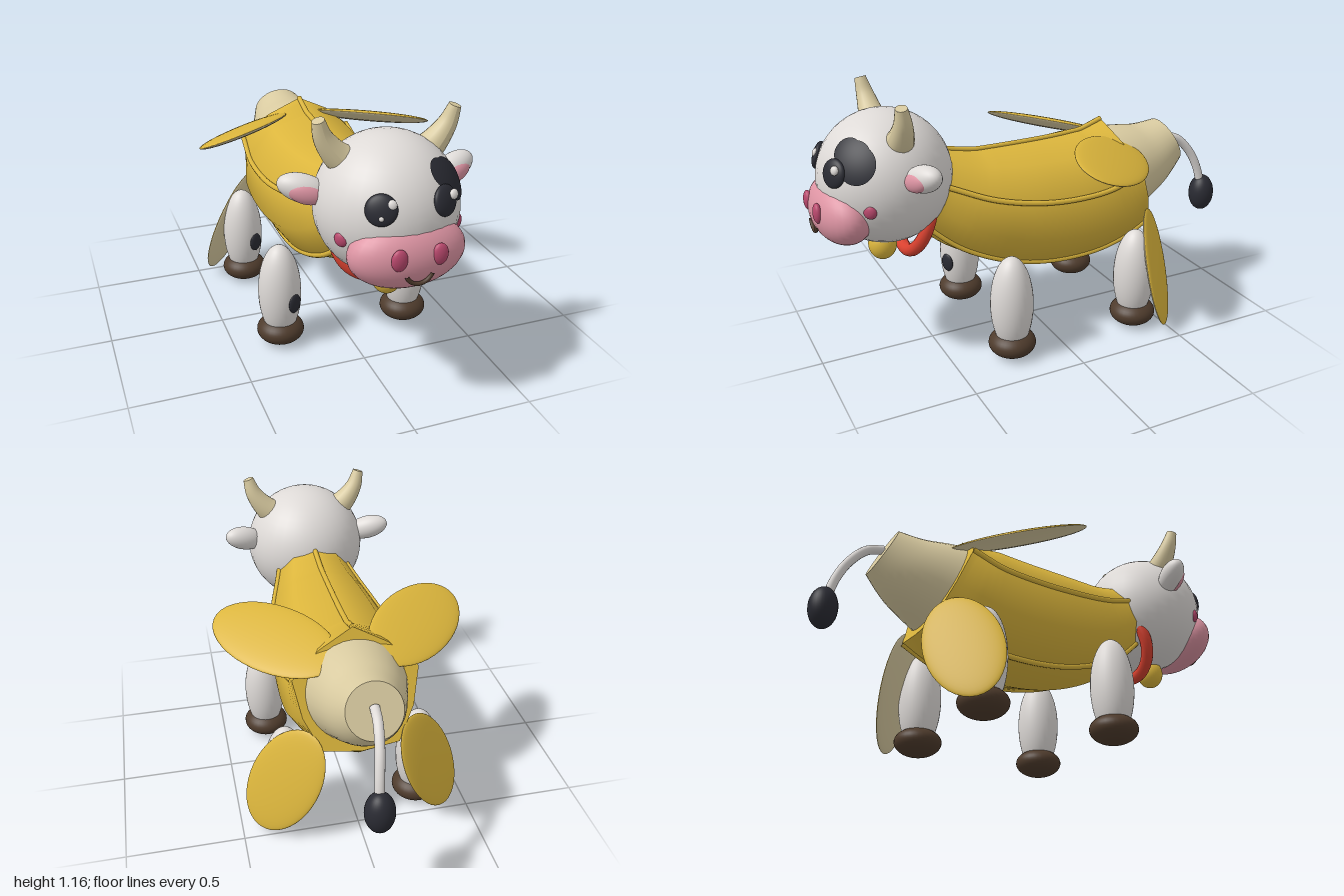
import * as THREE from 'three';

const mat = (name, color) => {
  const m = new THREE.MeshStandardMaterial({ color });
  m.name = name;
  return m;
};
const V = (x, y, z) => new THREE.Vector3(x, y, z);

export function createModel() {
  const yellow = mat('peel yellow', 0xdbb53c), cream = mat('fruit cream', 0xd8caa0);
  const white = mat('hide white', 0xdedad7), pink = mat('muzzle pink', 0xdd94a3);
  const rose = mat('nostril rose', 0xb9486d), black = mat('patch black', 0x2a2b33);
  const brown = mat('hoof brown', 0x4e3b2c), red = mat('collar red', 0xd9412f);
  const model = new THREE.Group();

  const add = (name, geo, material, parent = model) => {
    const mesh = new THREE.Mesh(geo, material);
    mesh.name = name;
    parent.add(mesh);
    return mesh;
  };
  const ball = (name, material, pos, size, rot = [0, 0, 0]) => {
    const m = add(name, new THREE.SphereGeometry(1, 32, 24), material);
    m.position.set(...pos);
    m.scale.set(...size);
    m.rotation.set(...rot);
    return m;
  };

  // Spine curves store (radius, y, z); a section point sits at angle a around them
  const spinePoint = (curve, t, a, k = 1) => {
    const p = curve.getPoint(t), d = curve.getTangent(t);
    const l = Math.hypot(d.y, d.z), r = p.x * k, s = Math.sin(a) * r;
    return V(Math.cos(a) * r, p.y - (d.z / l) * s, p.z + (d.y / l) * s);
  };
  const loft = (curve, sides, steps, shape = () => 1) => {
    const pos = [], idx = [];
    const ring = (t) => {
      const start = pos.length / 3;
      for (let j = 0; j < sides; j++) {
        const a = Math.PI / 2 + (j / sides) * Math.PI * 2;
        pos.push(...spinePoint(curve, t, a, shape(t, j)).toArray());
      }
      return start;
    };
    for (let i = 0; i <= steps; i++) ring(i / steps);
    for (let i = 0; i < steps; i++) for (let j = 0; j < sides; j++) {
      const n = (j + 1) % sides, a = i * sides, b = a + sides;
      idx.push(a + j, b + j, a + n, b + j, b + n, a + n);
    }
    // End caps with their own vertices, so the rims stay sharp
    for (const t of [0, 1]) {
      const s = ring(t), p = curve.getPoint(t), c = pos.length / 3;
      pos.push(0, p.y, p.z);
      for (let j = 0; j < sides; j++) {
        const n = (j + 1) % sides;
        idx.push(c, s + (t ? n : j), s + (t ? j : n));
      }
    }
    const g = new THREE.BufferGeometry();
    g.setAttribute('position', new THREE.Float32BufferAttribute(pos, 3));
    g.setIndex(idx);
    g.computeVertexNormals();
    return g;
  };

  // Banana body with five ridges, and the bare fruit at its rear
  const spine = new THREE.CatmullRomCurve3([
    V(0.175, 0.725, 0.48), V(0.235, 0.638, 0.3), V(0.275, 0.588, 0.1),
    V(0.29, 0.574, -0.1), V(0.288, 0.593, -0.29), V(0.268, 0.655, -0.45)]);
  const flare = (t, j) => {
    const f = Math.max(0, (t - 0.85) / 0.15);
    return j % 2 ? 1 - 0.09 * f : 1 + 0.03 * f;
  };
  add('peelBody', loft(spine, 10, 30, flare), yellow);
  for (let k = 0; k < 5; k++) {
    const a = Math.PI / 2 + (k * Math.PI * 2) / 5, pts = [];
    for (let i = 0; i <= 16; i++) pts.push(spinePoint(spine, i / 16, a, flare(i / 16, 0)));
    add('peelRidge', new THREE.TubeGeometry(new THREE.CatmullRomCurve3(pts), 40, 0.012, 8), yellow);
  }
  const fruit = new THREE.CatmullRomCurve3([
    V(0.222, 0.65, -0.42), V(0.17, 0.695, -0.58), V(0.115, 0.76, -0.715)]);
  add('bareFruit', loft(fruit, 32, 12), cream);

  // Peel flaps: yellow outside, cream inside
  const flap = (name, pos, along, normal, a, b) => {
    const n = normal.normalize();
    const u = along.addScaledVector(n, -along.dot(n)).normalize();
    const g = new THREE.Group();
    g.name = name;
    g.position.copy(pos);
    g.quaternion.setFromRotationMatrix(new THREE.Matrix4().makeBasis(u, n, u.clone().cross(n)));
    g.scale.set(a, 0.022, b);
    add('flapOutside', new THREE.SphereGeometry(1, 40, 12, 0, Math.PI * 2, 0, Math.PI / 2), yellow, g);
    add('flapInside', new THREE.SphereGeometry(1, 40, 12, 0, Math.PI * 2, Math.PI / 2, Math.PI / 2), cream, g);
    model.add(g);
  };

  // Round patch lying on the head sphere, centred at a front position
  const headC = V(0, 0.812, 0.67), headR = 0.278;
  const headZ = (x, y) => Math.sqrt(headR ** 2 - x * x - (y - headC.y) ** 2);
  const patch = (name, x, y, size, lift, material) => {
    const g = new THREE.SphereGeometry(headR + lift, 28, 8, 0, Math.PI * 2, 0, Math.asin(size / headR));
    const m = add(name, g, material);
    m.position.copy(headC);
    m.quaternion.setFromUnitVectors(V(0, 1, 0), V(x, y - headC.y, headZ(x, y)).normalize());
  };

  // Head and muzzle
  ball('head', white, headC.toArray(), [headR, headR, headR]);
  ball('muzzle', pink, [0, 0.702, 0.862], [0.228, 0.138, 0.124]);
  patch('eyePatch', 0.132, 0.978, 0.058, 0.005, black);
  patch('eyePatch', 0.165, 0.965, 0.065, 0.0055, black);
  patch('eyePatch', 0.187, 0.938, 0.076, 0.006, black);
  const mouth = add('mouth', new THREE.TorusGeometry(0.052, 0.008, 10, 24, Math.PI * 0.8), brown);
  mouth.position.set(0, 0.676, 0.976);
  mouth.rotation.z = Math.PI * 1.1;

  for (const s of [-1, 1]) {
    // Eyes with two glints
    const ex = s * 0.122, ey = 0.896;
    const turn = [-0.3, s * 0.45, 0];
    const ez = headC.z + headZ(ex, ey);
    ball('eye', black, [ex, ey, ez], [0.058, 0.058, 0.022], turn);
    ball('eyeGlint', white, [ex + 0.03, ey + 0.022, ez + (s > 0 ? 0.005 : 0.018)], [0.019, 0.019, 0.012], turn);
    ball('eyeGlint', white, [ex - 0.008, ey - 0.022, ez + 0.021], [0.01, 0.01, 0.007], turn);

    // Nostrils and cheeks
    ball('nostril', rose, [s * 0.078, 0.727, 0.974], [0.031, 0.042, 0.018]);
    ball('cheek', rose, [s * 0.228, 0.757, 0.805], [0.028, 0.03, 0.018], [0, s * 0.8, 0]);

    // Ears
    ball('ear', white, [s * 0.305, 0.885, 0.61], [0.1, 0.055, 0.052], [0, s * 0.3, s * 0.3]);
    ball('innerEar', pink, [s * 0.305, 0.875, 0.642], [0.07, 0.04, 0.028], [0, s * 0.3, s * 0.3]);

    // Horns: tube narrowed towards the tip, closed by a disc
    const horn = new THREE.CatmullRomCurve3([
      V(s * 0.14, 0.97, 0.655), V(s * 0.2, 1.025, 0.655), V(s * 0.245, 1.09, 0.66), V(s * 0.267, 1.16, 0.67)]);
    const g = new THREE.TubeGeometry(horn, 20, 1, 20);
    const p = g.attributes.position;
    for (let i = 0; i < p.count; i++) {
      const t = Math.floor(i / 21) / 20, c = horn.getPointAt(t), v = V(0, 0, 0).fromBufferAttribute(p, i);
      v.sub(c).multiplyScalar(0.066 - 0.042 * t).add(c);
      p.setXYZ(i, v.x, v.y, v.z);
    }
    g.computeVertexNormals();
    add('horn', g, cream);
    const tip = add('hornTip', new THREE.CircleGeometry(0.024, 20), cream);
    tip.position.copy(horn.getPointAt(1));
    tip.quaternion.setFromUnitVectors(V(0, 0, 1), horn.getTangentAt(1));

    // Legs and hooves
    for (const z of [0.24, -0.375]) {
      ball('leg', white, [s * 0.293, 0.25, z], [0.093, 0.22, 0.093]);
      ball('hoof', brown, [s * 0.293, 0.065, z], [0.103, 0.062, 0.103]);
      if (s < 0) ball('legSpot', black, [-0.251, 0.222, z + 0.08], [0.033, 0.044, 0.012], [0, 0.47, 0]);
    }

    flap('upperFlap', V(s * 0.3, 0.825, -0.235), V(s * 0.7, 0.07, 0.71), V(s * 0.25, 1, -0.35), 0.3, 0.16);
    flap('lowerFlap', V(s * 0.315, 0.275, -0.48), V(s * 0.47, -0.88, 0.09), V(s * 0.95, 0.4, -1), 0.268, 0.16);
  }

  // Collar and bell
  const collar = add('collar', new THREE.TorusGeometry(0.155, 0.028, 14, 48), red);
  collar.position.set(0, 0.615, 0.55);
  collar.rotation.x = -0.36;
  ball('bell', yellow, [0, 0.508, 0.7], [0.06, 0.068, 0.06]);

  // Tail and tuft
  const tail = new THREE.CatmullRomCurve3([
    V(0, 0.775, -0.71), V(0.005, 0.755, -0.78), V(0.015, 0.685, -0.85), V(0.025, 0.6, -0.895), V(0.03, 0.5, -0.925)]);
  add('tail', new THREE.TubeGeometry(tail, 30, 0.02, 14), white);
  ball('tailTuft', black, [0.03, 0.46, -0.932], [0.06, 0.09, 0.06]);

  return model;
}
